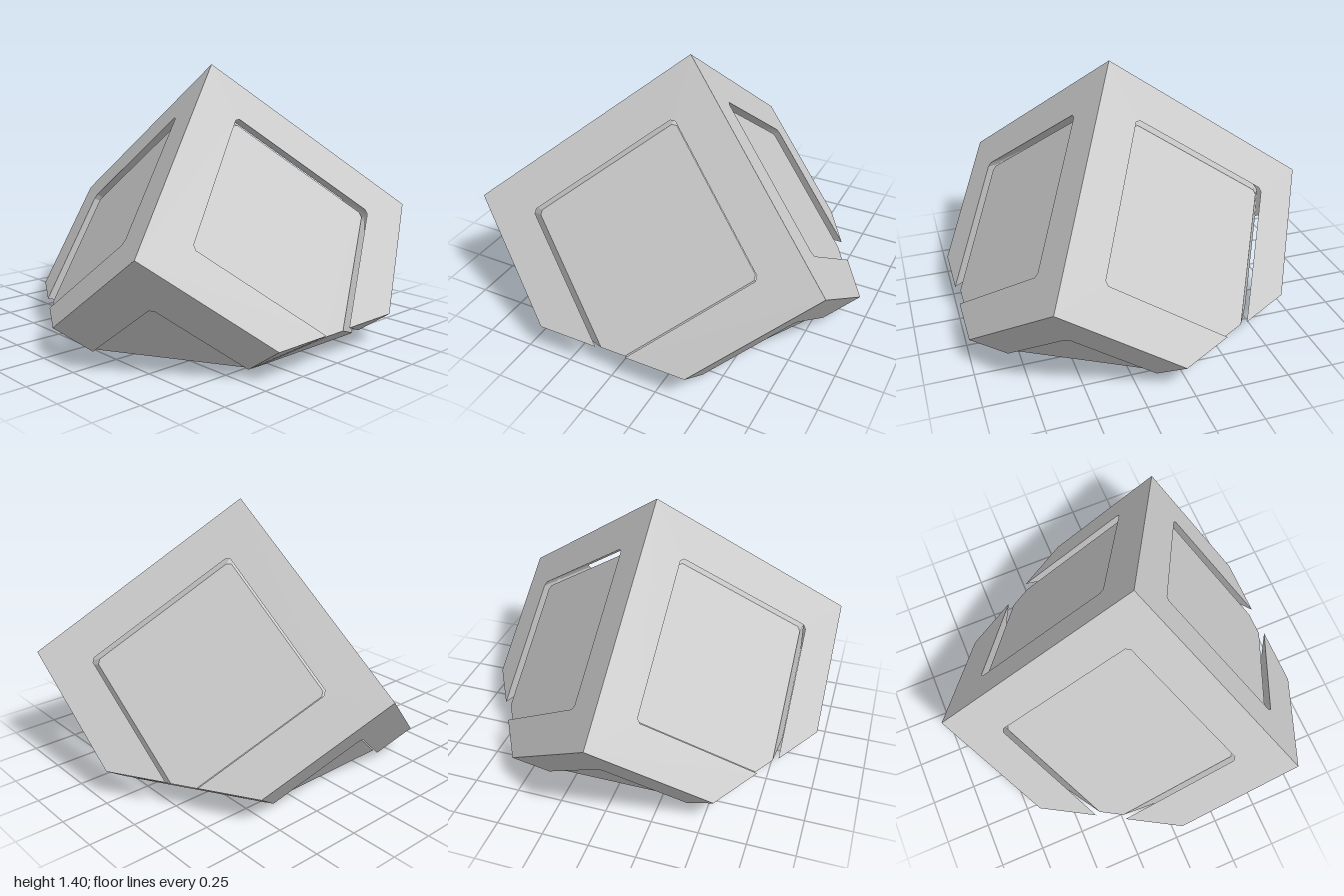
import * as THREE from 'three';
import { ConvexGeometry } from 'three/addons/geometries/ConvexGeometry.js';

// A cube standing on one corner: edge bars around a bevelled core, cut flat below.
// Cube coordinates (a, b, c) run from the top corner down its three edges.
const L = 1.37;         // cube edge
const BAR = 0.232;      // width of an edge bar on a face
const GAP = 0.042;      // slot between bar and core, measured on a face
const RECESS = 0.03;    // core faces sit below the bars
const CUT = 2.155;      // cut across the lower corners
const ROUND = 0.02;     // softening of the panel corners
const TOP = new THREE.Vector3(0.12, 1.4, 0);
const H = Math.sqrt(1 / 3);
const AXES = [
  new THREE.Vector3(-Math.sqrt(2 / 3), -H, 0),
  new THREE.Vector3(Math.sqrt(1 / 6), -H, Math.SQRT1_2),
  new THREE.Vector3(Math.sqrt(1 / 6), -H, -Math.SQRT1_2),
];
const toWorld = (p) => TOP.clone()
  .addScaledVector(AXES[0], p.x).addScaledVector(AXES[1], p.y).addScaledVector(AXES[2], p.z);

// Half-space: sum of weight * distance <= limit. Each term is [axis, side, weight];
// distance is counted inward from the near (0) or far (1) cube face.
function limit(terms, max) {
  const n = [0, 0, 0];
  let w = max;
  for (const [axis, side, weight] of terms) {
    n[axis] += side ? -weight : weight;
    if (side) w -= weight * L;
  }
  return { n: new THREE.Vector3(...n), w };
}
const atLeast = (terms, min) => limit(terms.map(([a, s, k]) => [a, s, -k]), -min);

const cuts = [0, 1, 2].map((k) => limit([[(k + 1) % 3, 0, 1], [(k + 2) % 3, 0, 1]], CUT));

// Convex solid enclosed by half-spaces
function solid(name, planes, material) {
  const points = [];
  const cross = new THREE.Vector3();
  for (let i = 0; i < planes.length; i++) {
    for (let j = i + 1; j < planes.length; j++) {
      for (let k = j + 1; k < planes.length; k++) {
        const [p, q, r] = [planes[i], planes[j], planes[k]];
        const qr = new THREE.Vector3().crossVectors(q.n, r.n);
        const det = p.n.dot(qr);
        if (Math.abs(det) < 1e-6) continue;
        const v = qr.multiplyScalar(p.w)
          .addScaledVector(cross.crossVectors(r.n, p.n), q.w)
          .addScaledVector(cross.crossVectors(p.n, q.n), r.w)
          .divideScalar(det);
        if (planes.every((s) => s.n.dot(v) <= s.w + 1e-6)
          && points.every((o) => o.distanceTo(v) > 1e-4)) points.push(v);
      }
    }
  }
  const mesh = new THREE.Mesh(new ConvexGeometry(points.map(toWorld)), material);
  mesh.name = name;
  return mesh;
}

export function createModel() {
  const model = new THREE.Group();
  model.name = 'corneredCube';
  const material = new THREE.MeshStandardMaterial({ color: 0xcccccc, flatShading: true });
  const frame = new THREE.Group();
  frame.name = 'edgeFrame';
  model.add(frame);

  // Slightly tilted flat base, then the lower corner cuts
  const core = [{ n: new THREE.Vector3(H, H + 0.0085, H - 0.0085), w: 1.39 }, ...cuts];

  for (let k = 0; k < 3; k++) {
    const i = (k + 1) % 3;
    const j = (k + 2) % 3;
    for (const side of [0, 1]) core.push(atLeast([[k, side, 1]], RECESS));

    for (const si of [0, 1]) {
      for (const sj of [0, 1]) {
        // Edge bars along axis k, mitred at both ends; the three lowest are absent
        if (!(si && sj)) {
          const bar = [
            limit([[i, si, 1], [j, sj, 1]], BAR),
            atLeast([[i, si, 1]], 0), atLeast([[j, sj, 1]], 0), ...cuts,
          ];
          for (const end of [0, 1]) {
            bar.push(limit([[i, si, 1], [k, end, -1]], 0), limit([[j, sj, 1], [k, end, -1]], 0));
          }
          frame.add(solid('edgeBar', bar, material));
          core.push(atLeast([[i, si, 1], [j, sj, 1]], BAR + GAP));
        }

        // Softened panel corners on the faces across axis k
        for (const sk of [0, 1]) {
          if (si + sj + sk > 1) continue;
          const slope = [[i, si, 1], [j, sj, 1], [k, sk, 2]];
          core.push(atLeast(slope, 2 * (BAR + GAP) + ROUND));
          frame.add(solid('cornerFillet', [
            atLeast([[i, si, 1], [k, sk, 1]], BAR),
            atLeast([[j, sj, 1], [k, sk, 1]], BAR),
            atLeast([[i, si, 1], [j, sj, 1]], BAR),
            atLeast([[k, sk, 1]], 0),
            limit(slope, 2 * BAR + ROUND),
          ], material));
        }
      }
    }
  }

  // Bevelled core
  model.add(solid('core', core, material));
  return model;
}
